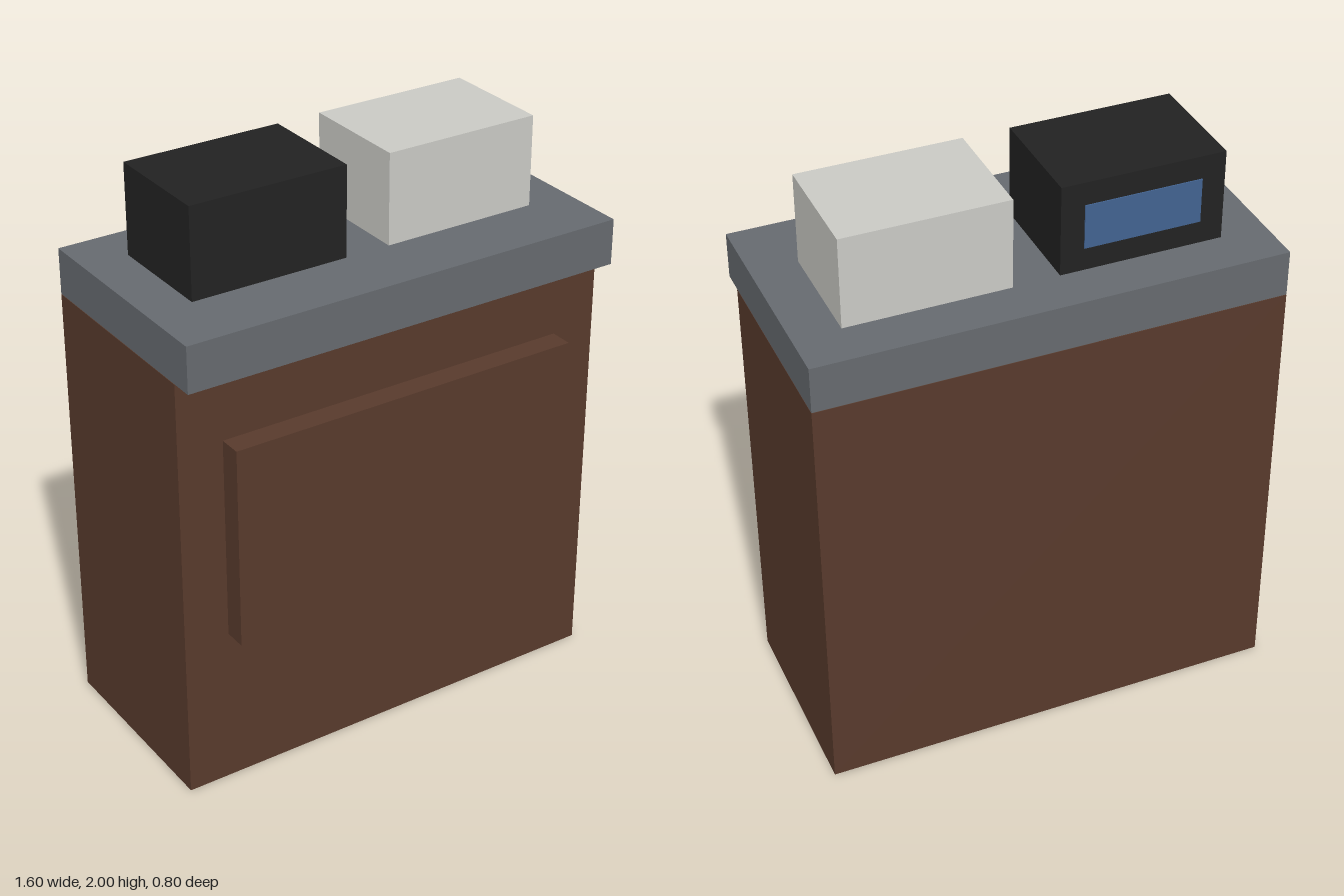
import * as THREE from 'three';

const mat = (name, color, extra = {}) => {
  const m = new THREE.MeshStandardMaterial({ color, ...extra });
  m.name = name;
  return m;
};

// Box given by its minimum and maximum corners
function box(name, material, [x0, y0, z0], [x1, y1, z1]) {
  const geo = new THREE.BoxGeometry(x1 - x0, y1 - y0, z1 - z0);
  geo.translate((x0 + x1) / 2, (y0 + y1) / 2, (z0 + z1) / 2);
  const mesh = new THREE.Mesh(geo, material);
  mesh.name = name;
  return mesh;
}

// Drops the bottom face of a box, leaving an open shell
function openBottom(mesh) {
  const index = Array.from(mesh.geometry.index.array);
  index.splice(18, 6);
  mesh.geometry.setIndex(index);
  mesh.geometry.clearGroups();
  return mesh;
}

export function createModel() {
  const wood = mat('brown wood', 0x583a2c, { side: THREE.DoubleSide });
  const stone = mat('grey counter', 0x666a6f);
  const black = mat('black casing', 0x222222);
  const white = mat('off-white casing', 0xcacac5);
  const blue = mat('blue screen', 0x426390);

  const group = new THREE.Group();
  group.name = 'counter';
  group.add(
    // Cabinet, hollow and open underneath
    openBottom(box('cabinet', wood, [-0.8, 0, -0.4], [0.8, 1.523, 0.32])),
    box('frontPanel', wood, [-0.64, 0.565, 0.32], [0.64, 1.28, 0.4]),
    box('counterTop', stone, [-0.8, 1.525, -0.4], [0.8, 1.685, 0.4]),
    // Appliances on the counter
    box('monitor', black, [-0.64, 1.685, -0.236], [-0.08, 2, 0.16]),
    box('screen', blue, [-0.56, 1.765, -0.24], [-0.16, 1.92, -0.235]),
    box('whiteBox', white, [0.08, 1.685, -0.24], [0.64, 2, 0.16]),
  );
  return group;
}
